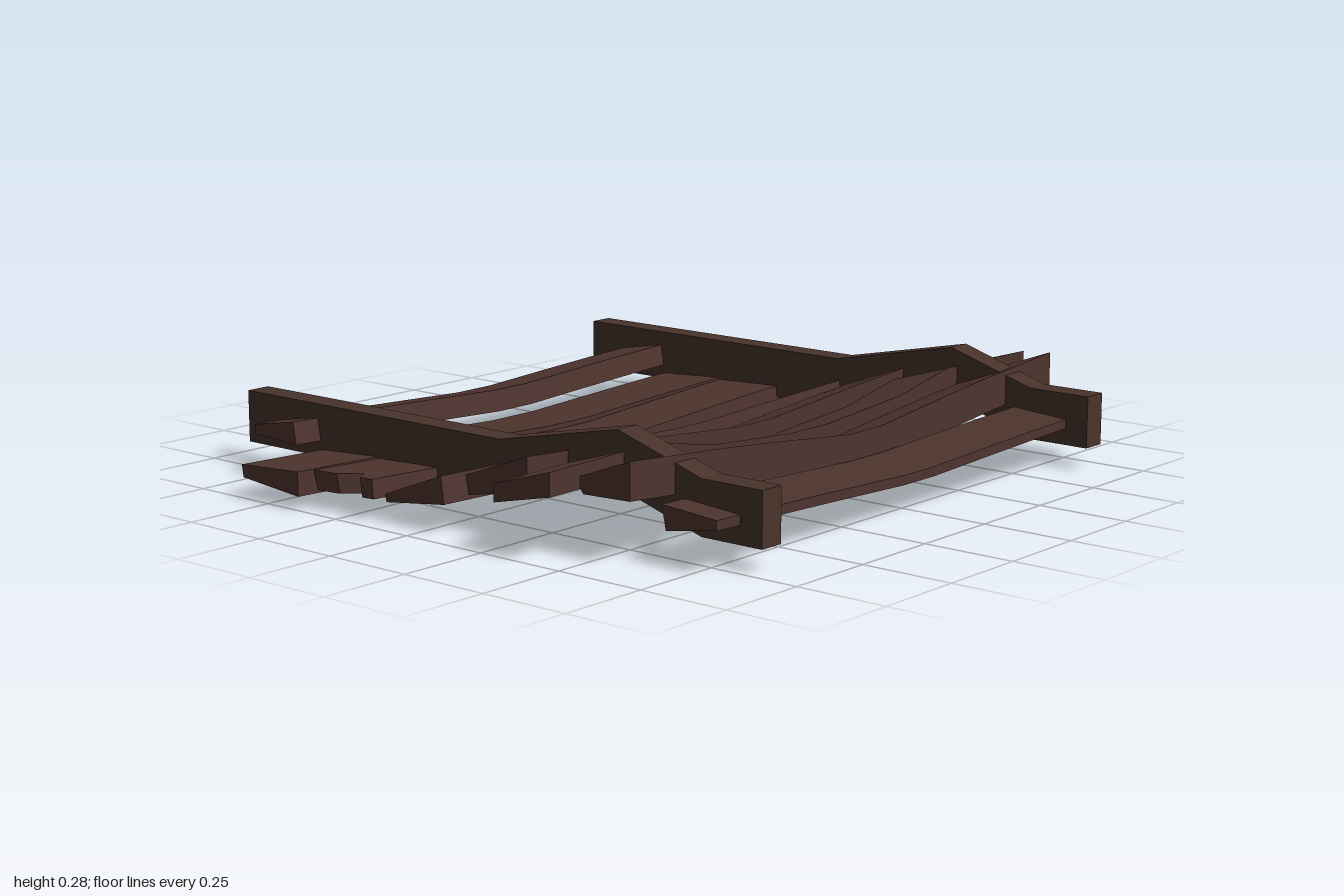
import * as THREE from 'three';

const plankWood = new THREE.MeshStandardMaterial({ name: 'plankWood', color: 0x4e342e, flatShading: true });
const railWood = new THREE.MeshStandardMaterial({ name: 'railWood', color: 0x48332b, flatShading: true });

// A sagging plank along x. Its end section is given as [z, y] for
// top front, top back, bottom back and bottom front.
function plank({ name, half, section, sag, bow = 0, shoulder = 0.35, notch = 0 }) {
  const [tf, tb, bb, bf] = section;
  const mix = (a, b, t) => [a[0] + (b[0] - a[0]) * t, a[1] + (b[1] - a[1]) * t];
  const steps = notch ? [0, 0.2, 0.33, 0.6, 1] : [0, 1];
  const n = steps.length;
  const stations = [[-1, 0], [-0.62, shoulder], [-0.4, 0.6], [-0.08, 1], [0.08, 1], [0.4, 0.6], [0.62, shoulder], [1, 0]];

  // Rings run over the top from front to back, then back underneath
  const rings = stations.map(([u, f]) => {
    const at = (a, b, t, k) => {
      const [z, y] = mix(a, b, t);
      const inset = notch && k === 2 && Math.abs(u) === 1 ? notch : 0;
      return [u * (half - inset), y - sag * f, z + bow * f];
    };
    const top = steps.map((t, k) => at(tf, tb, t, k));
    const bottom = steps.map((t, k) => at(bf, bb, t, k)).reverse();
    return [...top, ...bottom];
  });

  const pos = [];
  const quad = (a, b, c, d) => pos.push(...a, ...b, ...c, ...a, ...c, ...d);
  for (let i = 0; i < rings.length - 1; i++) {
    for (let j = 0; j < 2 * n; j++) {
      const k = (j + 1) % (2 * n);
      quad(rings[i][j], rings[i + 1][j], rings[i + 1][k], rings[i][k]);
    }
  }
  const left = rings[rings.length - 1], right = rings[0];
  for (let k = 0; k < n - 1; k++) {
    const b0 = 2 * n - 1 - k, b1 = b0 - 1;
    quad(left[k], left[b0], left[b1], left[k + 1]);
    quad(right[k], right[k + 1], right[b1], right[b0]);
  }
  const geo = new THREE.BufferGeometry();
  geo.setAttribute('position', new THREE.Float32BufferAttribute(pos, 3));
  geo.computeVertexNormals();
  const mesh = new THREE.Mesh(geo, plankWood);
  mesh.name = name;
  return mesh;
}

// A bent side rail, extruded from its side outline
function rail(name, x) {
  const width = 0.07, height = 0.14;
  const top = [[0.88, 0.2], [0.7, 0.2], [0.44, 0.28], [0.05, 0.2], [-0.88, 0.2]];
  const bottom = top.map(([z, y]) => [z, y - height]).reverse();
  const shape = new THREE.Shape([...top, ...bottom].map(([z, y]) => new THREE.Vector2(-z, y)));
  const geo = new THREE.ExtrudeGeometry(shape, { depth: width, bevelEnabled: false });
  geo.rotateY(Math.PI / 2).translate(x - width / 2, 0, 0);
  const mesh = new THREE.Mesh(geo, railWood);
  mesh.name = name;
  return mesh;
}

export function createModel() {
  const group = new THREE.Group();
  group.name = 'plankBridge';

  // Planks from front to back
  const planks = [
    { half: 0.81, sag: 0.03, bow: -0.01, section: [[0.815, 0.135], [0.65, 0.147], [0.663, 0.085], [0.815, 0.11]] },
    { half: 0.88, sag: 0.07, bow: 0.02, section: [[0.615, 0.255], [0.44, 0.19], [0.47, 0.155], [0.615, 0.16]] },
    { half: 0.985, sag: 0.06, shoulder: -0.1, section: [[0.46, 0.225], [0.28, 0.17], [0.28, 0.125], [0.46, 0.165]] },
    { half: 0.87, sag: 0.06, section: [[0.28, 0.215], [0.075, 0.14], [0.085, 0.09], [0.28, 0.13]] },
    { half: 0.935, sag: 0.025, bow: 0.01, section: [[0.055, 0.145], [-0.14, 0.07], [-0.135, 0.05], [0.065, 0.075]] },
    { half: 0.95, sag: 0.045, notch: 0.04, section: [[-0.17, 0.105], [-0.38, 0.097], [-0.367, 0.047], [-0.165, 0.055]] },
    { half: 1, sag: 0.036, section: [[-0.385, 0.1], [-0.595, 0.088], [-0.59, 0.055], [-0.385, 0.036]] },
    { half: 0.81, sag: 0.03, bow: 0.01, section: [[-0.61, 0.165], [-0.76, 0.138], [-0.757, 0.113], [-0.6, 0.105]] },
  ];
  planks.forEach((p, i) => group.add(plank({ name: `plank${i + 1}`, ...p })));

  group.add(rail('leftRail', 0.69), rail('rightRail', -0.69));
  return group;
}
